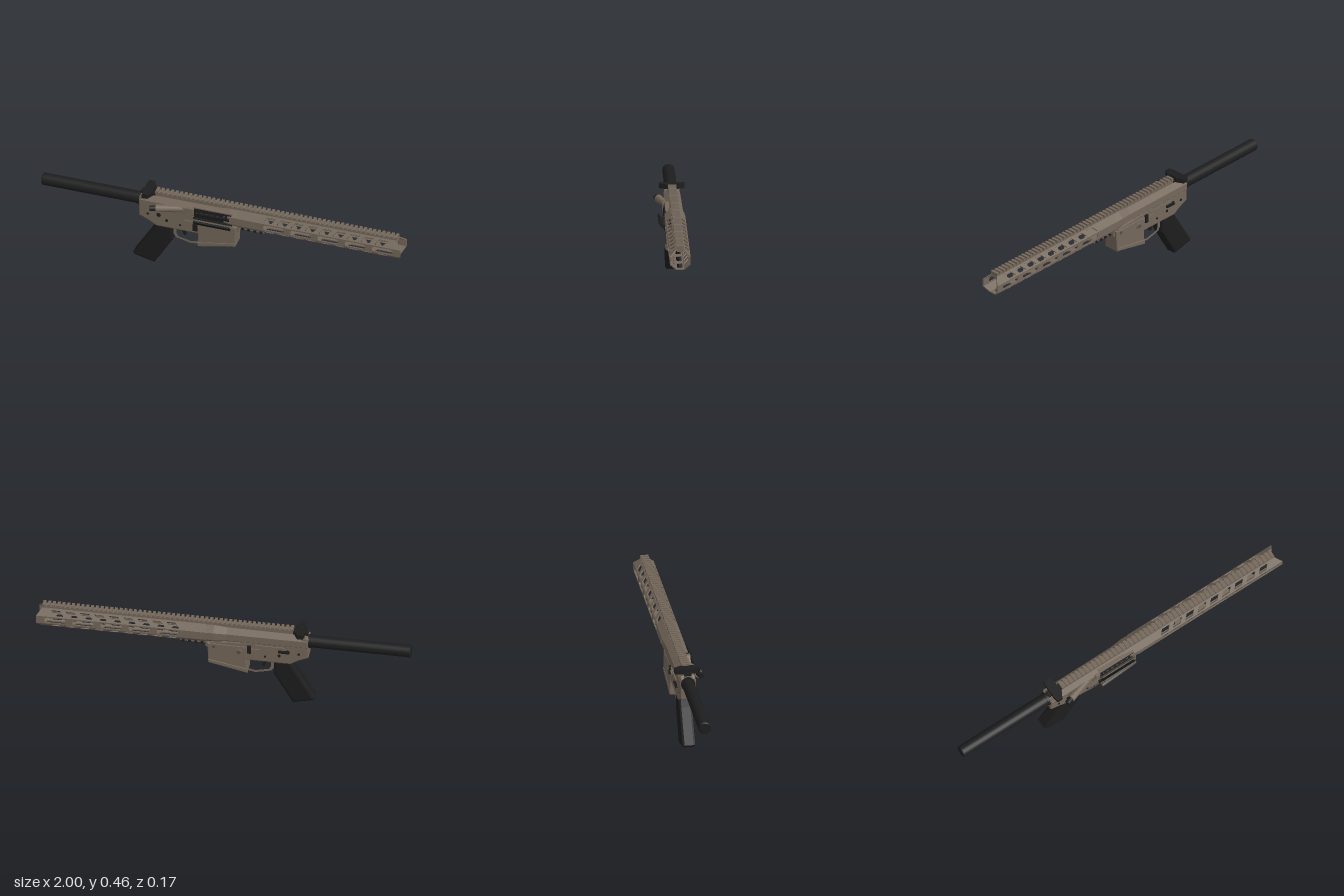
import * as THREE from 'three';

const mat = (name, color, side = THREE.FrontSide) => {
  const m = new THREE.MeshStandardMaterial({ color, side });
  m.name = name;
  return m;
};

export function createModel() {
  const tan = mat('earth tan', 0x74675a);
  const darkTan = mat('dark tan', 0x5a4f44);
  const black = mat('matte black', 0x1d1d1d);
  const root = new THREE.Group();
  root.name = 'rifleBody';
  const body = new THREE.Group(); // local z = 0 is the plane of symmetry
  body.name = 'assembly';
  body.position.z = -0.017;
  root.add(body);
  const AXIS = 0.385; // height of the bore

  const add = (name, geo, material, parent = body) => {
    const m = new THREE.Mesh(geo, material);
    m.name = name;
    parent.add(m);
    return m;
  };
  const box = (name, x0, x1, y0, y1, z0, z1, material) => add(name,
    new THREE.BoxGeometry(x1 - x0, y1 - y0, z1 - z0)
      .translate((x0 + x1) / 2, (y0 + y1) / 2, (z0 + z1) / 2), material);
  const poly = pts => pts.map(p => new THREE.Vector2(p[0], p[1]));
  // Side profile extruded symmetrically across z, with optional chamfer
  const slab = (name, pts, half, material, bevel = 0, holes = []) => {
    const s = new THREE.Shape(poly(pts));
    holes.forEach(h => s.holes.push(new THREE.Path(poly(h))));
    const geo = new THREE.ExtrudeGeometry(s, {
      depth: 2 * (half - bevel), bevelEnabled: bevel > 0, bevelThickness: bevel,
      bevelSize: bevel, bevelOffset: -bevel, bevelSegments: 2
    });
    return add(name, geo.translate(0, 0, -half + bevel), material);
  };
  // Rod between two points
  const rod = (name, a, b, r0, r1, material, sides = 16) => {
    const A = new THREE.Vector3(...a), B = new THREE.Vector3(...b);
    const d = B.clone().sub(A);
    const geo = new THREE.CylinderGeometry(r1, r0, d.length(), sides);
    if (sides === 8) geo.rotateY(Math.PI / 8);
    const m = add(name, sides === 8 ? geo.toNonIndexed() : geo, material);
    if (sides === 8) m.geometry.computeVertexNormals();
    m.quaternion.setFromUnitVectors(new THREE.Vector3(0, 1, 0), d.normalize());
    m.position.copy(A.add(B).multiplyScalar(0.5));
    return m;
  };
  const alongX = (name, x0, x1, r0, r1, material, sides) =>
    rod(name, [x0, AXIS, 0], [x1, AXIS, 0], r0, r1, material, sides);

  // Rear tube with end ring and castle nut
  alongX('bufferTube', -0.995, -0.44, 0.033, 0.033, black, 20);
  alongX('bufferTubeEnd', -1, -0.995, 0.028, 0.033, black, 20);
  alongX('castleNut', -0.465, -0.445, 0.038, 0.038, black, 20);

  // Upper receiver and its flared front
  alongX('upperReceiver', -0.45, -0.02, 0.047, 0.05, tan, 8);
  alongX('receiverFlare', -0.02, 0.05, 0.05, 0.0575, tan, 8);
  alongX('receiverFront', 0.05, 0.13, 0.0575, 0.0545, tan, 8);
  alongX('barrelNut', 0.13, 0.16, 0.034, 0.034, black, 24);
  alongX('boreRing', 0.16, 0.175, 0.026, 0.022, black, 24);

  // Lower receiver: rear block, then magazine well
  slab('lowerReceiver', [[-0.455, 0.415], [-0.44, 0.428], [-0.40, 0.40], [-0.3, 0.375], [0.07, 0.345],
    [0.07, 0.29], [-0.12, 0.25], [-0.36, 0.25], [-0.4, 0.275], [-0.455, 0.3]], 0.04, tan, 0.006);
  slab('magazineWell', [[-0.14, 0.335], [0.085, 0.335], [0.08, 0.22], [-0.13, 0.178], [-0.125, 0.255]],
    0.043, tan, 0.005);
  slab('magazineWellLip', [[-0.13, 0.198], [0.08, 0.236], [0.08, 0.214], [-0.1, 0.176], [-0.13, 0.17]],
    0.046, tan, 0.005);
  slab('magazineOpening', [[-0.105, 0.18], [0.06, 0.214], [0.06, 0.21], [-0.105, 0.173]], 0.031, darkTan);
  slab('triggerGuard', [[-0.27, 0.26], [-0.12, 0.26], [-0.115, 0.175], [-0.17, 0.165], [-0.255, 0.185], [-0.275, 0.215]],
    0.02, tan, 0, [[[-0.252, 0.25], [-0.135, 0.25], [-0.13, 0.195], [-0.14, 0.184], [-0.17, 0.178], [-0.243, 0.195], [-0.252, 0.212]]]);
  slab('trigger', [[-0.235, 0.26], [-0.208, 0.26], [-0.208, 0.228], [-0.203, 0.205], [-0.213, 0.198], [-0.222, 0.215]],
    0.008, black);

  // Pistol grip
  slab('pistolGrip', [[-0.36, 0.262], [-0.27, 0.256], [-0.268, 0.175], [-0.29, 0.14], [-0.345, 0.045],
    [-0.362, 0.02], [-0.37, 0.002], [-0.485, 0.03], [-0.49, 0.042], [-0.43, 0.14], [-0.385, 0.215]],
    0.037, black, 0.013);

  // Top rail: web plus teeth
  box('railWeb', -0.37, 0.97, 0.425, 0.449, -0.017, 0.017, tan);
  for (let x = -0.37; x < 0.96; x += 0.0255) {
    slab('railTooth', [[x, 0.443], [x + 0.015, 0.443], [x + 0.015, 0.46], [x, 0.46]], 0.0215, tan);
  }

  // Charging handle
  box('chargingHandleStem', -0.45, -0.37, 0.425, 0.442, -0.018, 0.018, black);
  for (const s of [-1, 1]) {
    const wing = new THREE.Shape(poly([[-0.435, 0], [-0.39, 0], [-0.38, 0.03], [-0.4, 0.067], [-0.43, 0.067], [-0.435, 0.04]]));
    const geo = new THREE.ExtrudeGeometry(wing, { depth: 0.025, bevelEnabled: false });
    geo.rotateX(s * Math.PI / 2).translate(0, s > 0 ? 0.459 : 0.434, 0);
    add('chargingHandleWing', geo, black);
  }

  // Ejection port, bolt and open door on the front side
  box('ejectionPort', -0.145, 0.06, 0.355, 0.418, 0.03, 0.05, black);
  box('portFrame', -0.15, 0.065, 0.416, 0.424, 0.025, 0.049, tan);
  rod('boltCarrier', [-0.135, 0.387, 0.042], [0.05, 0.387, 0.042], 0.015, 0.015, black);
  for (let i = 0; i < 6; i++) {
    box('boltRidge', -0.125 + i * 0.03, -0.113 + i * 0.03, 0.392, 0.41, 0.048, 0.054, black);
  }
  const door = add('portDoor', new THREE.BoxGeometry(0.2, 0.036, 0.01), black);
  door.position.set(-0.042, 0.343, 0.07);
  door.rotation.x = 0.65;
  rod('doorHinge', [-0.15, 0.355, 0.05], [0.065, 0.355, 0.05], 0.005, 0.005, black, 10);

  // Case deflector and forward assist
  slab('caseDeflector', [[-0.2, 0.375], [-0.155, 0.37], [-0.155, 0.415], [-0.175, 0.415]], 0.009, tan).position.z = 0.049;
  rod('assistHousing', [-0.2, 0.39, 0.03], [-0.35, 0.39, 0.073], 0.014, 0.022, tan);
  rod('assistButton', [-0.34, 0.39, 0.07], [-0.38, 0.39, 0.085], 0.015, 0.015, black);

  // Pins on both sides
  for (const [x, y, r] of [[-0.345, 0.325, 0.012], [-0.3, 0.298, 0.008], [-0.225, 0.285, 0.006], [-0.405, 0.32, 0.007]]) {
    rod('pin', [x, y, -0.043], [x, y, 0.043], r, r, black);
  }
  rod('frontPin', [0.05, 0.318, -0.046], [0.05, 0.318, 0.046], 0.009, 0.009, darkTan);
  box('magazineRelease', -0.155, -0.128, 0.27, 0.31, 0.038, 0.049, black);
  slab('magazineFence', [[-0.2, 0.318], [-0.115, 0.318], [-0.11, 0.326], [-0.2, 0.326]], 0.046, tan);
  // Controls on the back side
  const lever = box('selectorLever', -0.35, -0.295, 0.32, 0.332, -0.051, -0.04, black);
  lever.rotation.z = 0;
  box('boltCatch', -0.15, -0.13, 0.3, 0.345, -0.052, -0.04, black);
  rod('releaseRing', [-0.085, 0.3, -0.048], [-0.085, 0.3, -0.04], 0.018, 0.018, tan);
  rod('releaseButton', [-0.085, 0.3, -0.051], [-0.085, 0.3, -0.04], 0.011, 0.011, darkTan);
  box('sideRib', -0.33, -0.17, 0.345, 0.352, -0.046, -0.035, tan);

  // Handguard: eight slotted panels around the bore
  const guard = new THREE.Group();
  guard.name = 'handguard';
  guard.position.y = AXIS;
  body.add(guard);
  const A = 0.0545, W = A * Math.tan(Math.PI / 8), T = 0.006, X0 = 0.09;
  const longSlot = (x0, x1, h) => {
    const p = new THREE.Path();
    p.absarc(x1 - h, 0, h, -Math.PI / 2, Math.PI / 2);
    p.absarc(x0 + h, 0, h, Math.PI / 2, 1.5 * Math.PI);
    p.closePath();
    return p;
  };
  for (let i = 0; i < 8; i++) {
    // Panels 0 and 4 are the sides, 2 the bottom, 6 the top
    const upper = i === 5 || i === 7, lower = i === 1 || i === 3;
    const up = i > 2 && i < 6 ? -1 : 1; // which panel edge is higher
    const far = upper ? 0.972 : lower ? 0.98 : i === 6 ? 0.972 : i === 2 ? 0.98 : 1;
    const near = i % 4 === 0 ? 1 : i % 2 ? 1 : far;
    const edgeUp = upper || i % 4 === 0 ? far : near;
    const edgeDown = lower ? far : near;
    const top = up > 0 ? edgeUp : edgeDown, bottom = up > 0 ? edgeDown : edgeUp;
    const s = new THREE.Shape(poly([[X0, -W], [bottom, -W], [top, W], [X0, W]]));
    if (i % 4 === 0 || i === 2) {
      for (let k = 0; k < 5; k++) s.holes.push(longSlot(0.238 + 0.151 * k, 0.353 + 0.151 * k, 0.0145));
    } else if (i % 2) {
      for (let k = 0; k < 9; k++) {
        const x = 0.24 + 0.0775 * k, h = 0.0145, d = 0.011 * up * (upper ? 1 : -1);
        s.holes.push(new THREE.Path(poly([[x + 0.005 - d, -h], [x + 0.053 - d, -h], [x + 0.053 + d, h], [x + 0.005 + d, h]])));
      }
    }
    const geo = new THREE.ExtrudeGeometry(s, { depth: T, bevelEnabled: false, curveSegments: 6 });
    const panel = add('handguardPanel', geo.translate(0, 0, A - T), tan, guard);
    panel.rotation.x = i * Math.PI / 4;
  }

  // Clamp under the rear of the handguard, with screws
  box('handguardClamp', 0.08, 0.235, 0.322, 0.342, -0.022, 0.022, tan);
  box('frontLug', 0.06, 0.095, 0.305, 0.335, -0.03, 0.03, tan);
  for (let i = 0; i < 4; i++) {
    const x = 0.115 + i * 0.034;
    rod('clampScrew', [x, 0.326, -0.027], [x, 0.326, 0.027], 0.008, 0.008, black, 12);
  }
  return root;
}
